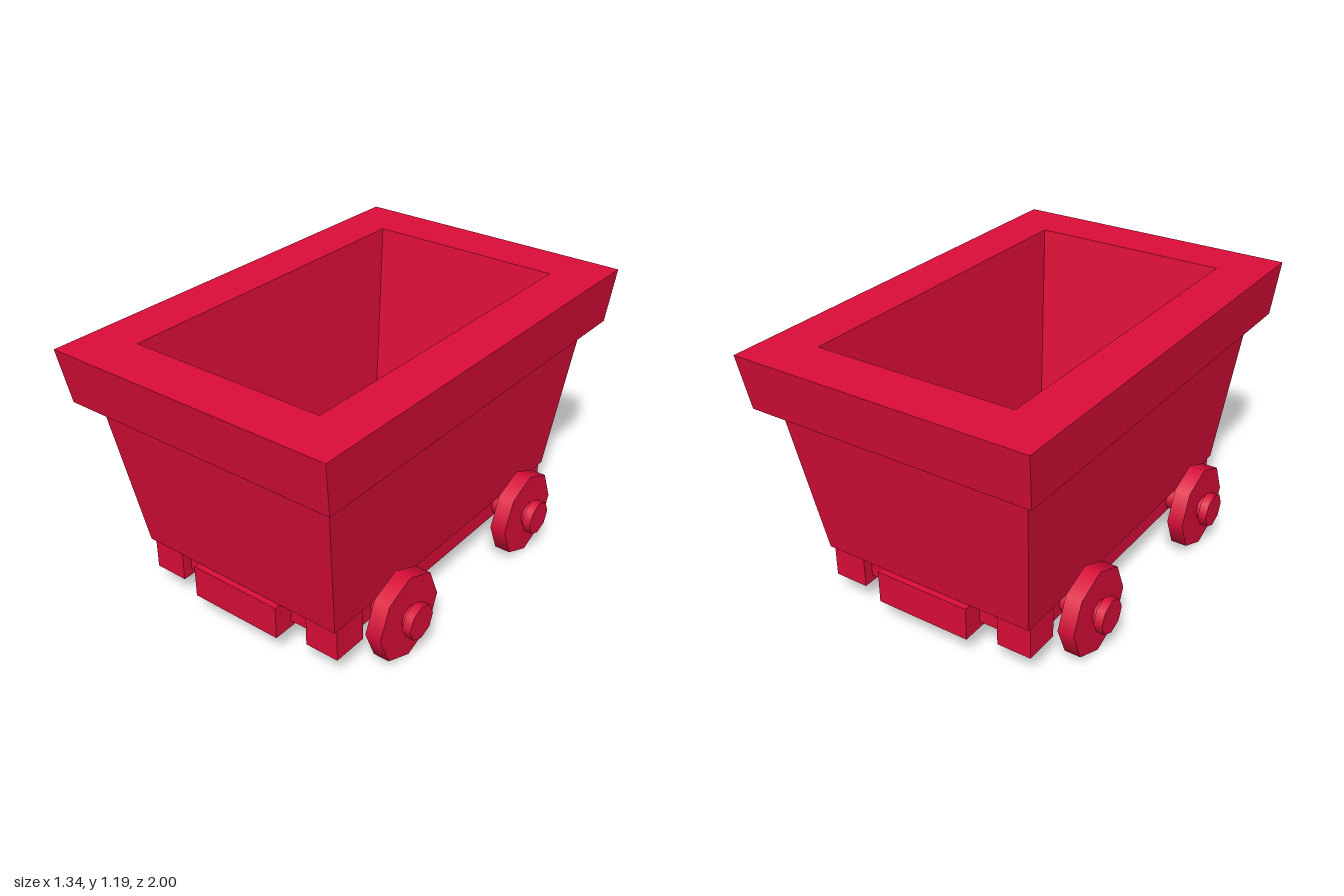
import * as THREE from 'three';

const red = new THREE.MeshStandardMaterial({ color: 0xdc0d38 });

// Flat-faced shell through rectangular rings, each [halfX, halfZ, y]
function rectLoft(rings) {
  const corners = [[-1, 1], [1, 1], [1, -1], [-1, -1]];
  const at = ([hx, hz, y], i) => [corners[i % 4][0] * hx, y, corners[i % 4][1] * hz];
  const pos = [];
  for (let r = 0; r < rings.length - 1; r++) {
    for (let i = 0; i < 4; i++) {
      const a = at(rings[r], i), b = at(rings[r], i + 1);
      const c = at(rings[r + 1], i + 1), d = at(rings[r + 1], i);
      if (rings[r][0] > 0) pos.push(...a, ...b, ...c);
      if (rings[r + 1][0] > 0) pos.push(...a, ...c, ...d);
      else pos.push(...a, ...b, ...c);
    }
    // a ring collapsed to a point needs only one triangle per side
    if (rings[r + 1][0] === 0) pos.splice(pos.length - 36);
  }
  const geo = new THREE.BufferGeometry();
  geo.setAttribute('position', new THREE.Float32BufferAttribute(pos, 3));
  geo.computeVertexNormals();
  return geo;
}

export function createModel() {
  const cart = new THREE.Group();
  cart.name = 'mineCart';

  const add = (name, geo, x = 0, y = 0, z = 0) => {
    const mesh = new THREE.Mesh(geo, red);
    mesh.name = name;
    mesh.position.set(x, y, z);
    cart.add(mesh);
    return mesh;
  };
  const box = (name, w, h, d, x, y, z) => add(name, new THREE.BoxGeometry(w, h, d), x, y, z);
  const disc = (name, radius, length, sides, x, y, z) => {
    const geo = new THREE.CylinderGeometry(radius, radius, length, sides);
    return add(name, geo.rotateZ(Math.PI / 2), x, y, z);
  };
  // Horizontal panel facing up or down
  const panel = (name, w, d, y, dir) =>
    add(name, new THREE.PlaneGeometry(w, d).rotateX(-dir * Math.PI / 2), 0, y, 0);

  // Tapered tub: outside walls, thick rim, sloping inside walls
  add('tubWalls', rectLoft([[0.495, 0.77, 0.262], [0.57, 0.885, 0.955]]));
  add('rim', rectLoft([
    [0.57, 0.885, 0.955], [0.635, 0.96, 0.955], [0.655, 1, 1.19], [0.445, 0.775, 1.19],
  ]));
  add('tubInside', rectLoft([[0.445, 0.775, 1.19], [0.36, 0.62, 0.35]]));
  panel('tubFloor', 0.72, 1.24, 0.35, 1);
  panel('tubUnderside', 0.99, 1.54, 0.262, -1);

  // Chassis rails
  for (const s of [-1, 1]) {
    box('sideRail', 0.09, 0.09, 1.4, s * 0.415, 0.185, 0);
    box('crossRail', 0.8, 0.09, 0.09, 0, 0.185, s * 0.66);

    // End blocks: a proud bumper between two corner blocks
    box('bumper', 0.437, 0.148, 0.195, 0, 0.185, s * 0.6975);
    for (const side of [-1, 1]) {
      box('cornerBlock', 0.155, 0.148, 0.16, side * 0.412, 0.185, s * 0.67);
    }

    // Axle with a wheel and hub cap at each end
    const z = s * 0.45;
    disc('axle', 0.054, 1.28, 8, 0, 0.194, z);
    for (const side of [-1, 1]) {
      disc('wheel', 0.191, 0.072, 8, side * 0.577, 0.194, z);
      disc('hubCap', 0.077, 0.038, 8, side * 0.652, 0.194, z);
    }
  }
  return cart;
}
